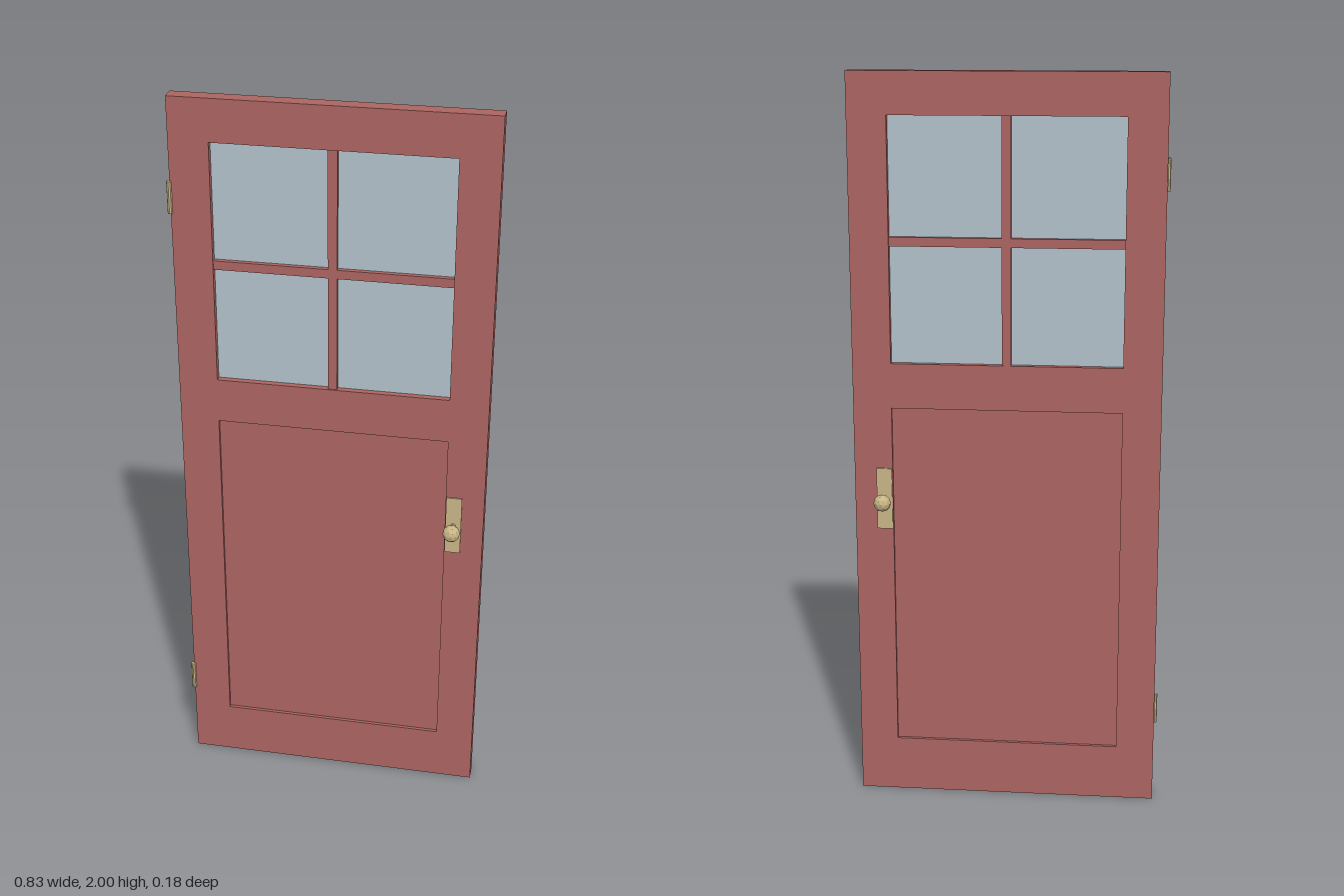
import * as THREE from 'three';

export function createModel() {
  const door = new THREE.Group();
  door.name = 'door';

  const material = (name, color, flatShading = false) => {
    const m = new THREE.MeshStandardMaterial({ color, flatShading });
    m.name = name;
    return m;
  };
  const paint = material('redPaint', 0xab6562);
  const glass = material('paleGlass', 0xb1c1c9);
  const brass = material('brass', 0xc8b586, true);

  const add = (name, geometry, mat, x, y, z, parent = door) => {
    const mesh = new THREE.Mesh(geometry, mat);
    mesh.name = name;
    mesh.position.set(x, y, z);
    parent.add(mesh);
    return mesh;
  };
  const box = (name, w, h, d, mat, x, y, z, parent) =>
    add(name, new THREE.BoxGeometry(w, h, d), mat, x, y, z, parent);
  const rectangle = (path, x0, y0, x1, y1) => {
    path.moveTo(x0, y0);
    path.lineTo(x1, y0);
    path.lineTo(x1, y1);
    path.lineTo(x0, y1);
    path.closePath();
    return path;
  };

  // Frame with openings for the window and the lower panel
  const thickness = 0.042, cx = 0.0025, half = 0.3085;
  const windowY = [1.24, 1.889], panelY = [0.155, 1.118];
  const outline = rectangle(new THREE.Shape(), cx - 0.412, 0, cx + 0.412, 2);
  for (const [y0, y1] of [windowY, panelY]) {
    outline.holes.push(rectangle(new THREE.Path(), cx - half, y0, cx + half, y1));
  }
  const frame = new THREE.ExtrudeGeometry(outline, { depth: thickness, bevelEnabled: false });
  add('frame', frame, paint, 0, 0, -thickness / 2);

  // Recessed lower panel
  box('lowerPanel', half * 2, panelY[1] - panelY[0], 0.024, paint,
    cx, (panelY[0] + panelY[1]) / 2, 0);

  // Window pane and its crossing bars
  const wy = (windowY[0] + windowY[1]) / 2, wh = windowY[1] - windowY[0];
  box('windowPane', half * 2, wh, 0.008, glass, cx, wy, 0);
  box('verticalBar', 0.024, wh, 0.034, paint, cx, wy, 0);
  box('horizontalBar', half * 2, 0.024, 0.034, paint, cx, wy, 0);

  // Knob, stem and backplate on both faces
  for (const side of [1, -1]) {
    const handle = new THREE.Group();
    handle.name = side > 0 ? 'frontHandle' : 'backHandle';
    handle.position.set(0.334, 0.865, 0);
    door.add(handle);
    box('backplate', 0.042, 0.17, 0.006, brass, 0, 0, side * 0.022, handle);
    const stem = new THREE.CylinderGeometry(0.007, 0.007, 0.03, 8).rotateX(Math.PI / 2);
    add('stem', stem, brass, 0, 0, side * 0.037, handle);
    const knob = new THREE.IcosahedronGeometry(0.0235, 1).rotateZ(-0.5536);
    add('knob', knob, brass, 0, 0, side * 0.065, handle);
  }

  // Hinge barrels on the front corner of the hinge edge
  for (const [name, y] of [['upperHinge', 1.741], ['lowerHinge', 0.259]]) {
    add(name, new THREE.CylinderGeometry(0.0065, 0.0065, 0.085, 8), brass, -0.411, y, 0.022);
  }

  return door;
}
